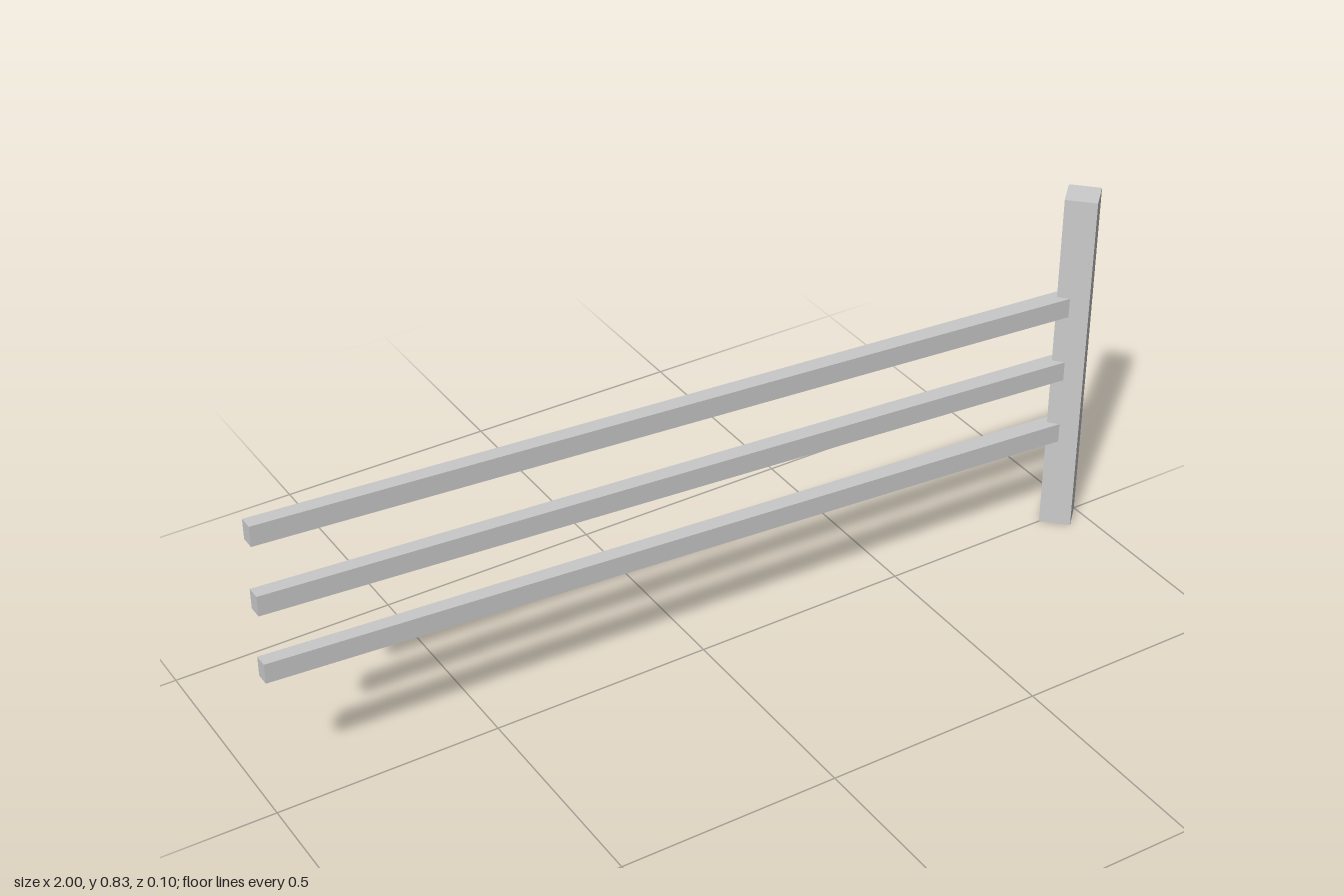
import * as THREE from 'three';

const START = -1, END = 0.95, SLOPE = -0.06;

// Sloping rail with vertical ends, slightly thicker toward the post
function makeRail(topY, material) {
  const length = END - START;
  const geometry = new THREE.BoxGeometry(length, 0.046, 1);
  const p = geometry.attributes.position;
  for (let i = 0; i < p.count; i++) {
    const t = p.getX(i) / length + 0.5;
    p.setXYZ(
      i,
      START + t * length,
      topY - 0.023 + p.getY(i) + SLOPE * t * length,
      p.getZ(i) * 2 * (0.015 + 0.005 * t)
    );
  }
  geometry.computeVertexNormals();
  return new THREE.Mesh(geometry, material);
}

export function createModel() {
  const model = new THREE.Group();
  model.name = 'fenceSection';
  const grey = new THREE.MeshStandardMaterial({ color: 0xcccccc });
  grey.name = 'light grey';

  // Square post turned corner-forward
  const side = 0.05 * Math.SQRT2;
  const post = new THREE.Mesh(new THREE.BoxGeometry(side, 0.83, side), grey);
  post.name = 'post';
  post.rotation.y = Math.PI / 4;
  post.position.set(0.95, 0.415, 0);
  model.add(post);

  // Three parallel rails
  ['lowerRail', 'middleRail', 'upperRail'].forEach((name, i) => {
    const rail = makeRail(0.383 + i * 0.1615, grey);
    rail.name = name;
    model.add(rail);
  });
  return model;
}
